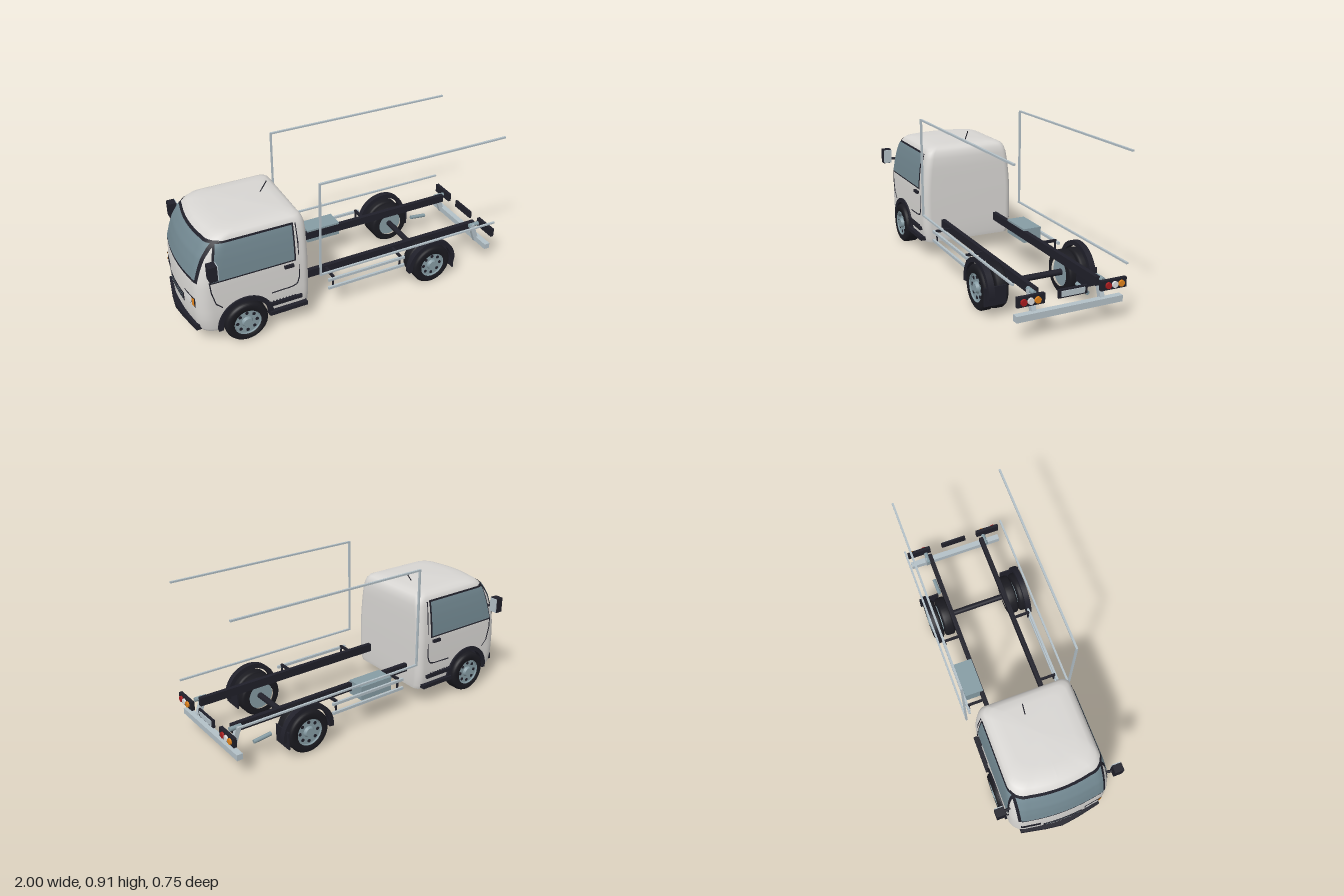
import * as THREE from 'three';

const M = (name, color, side = THREE.FrontSide) => {
  const m = new THREE.MeshStandardMaterial({ color, side });
  m.name = name;
  return m;
};

// Cab sections: height, front x, back x, half width
const LEVELS = [
  [0.105, -0.95, -0.288, 0.285], [0.13, -0.963, -0.284, 0.294], [0.2, -0.97, -0.282, 0.3],
  [0.25, -0.971, -0.282, 0.3], [0.3, -0.971, -0.282, 0.3], [0.4, -0.966, -0.282, 0.3],
  [0.45, -0.958, -0.283, 0.298], [0.52, -0.94, -0.284, 0.292], [0.58, -0.92, -0.285, 0.285],
  [0.64, -0.887, -0.288, 0.275], [0.675, -0.86, -0.298, 0.265], [0.695, -0.835, -0.312, 0.25],
  [0.706, -0.8, -0.335, 0.225], [0.713, -0.74, -0.38, 0.17],
];
const RF = 0.09, RB = 0.045, BULGE = 0.02;
const FRONT_X = -0.68, REAR_X = 0.53, WHEEL_Y = 0.127, WHEEL_R = 0.127;

function section(y) {
  let i = 0;
  while (i < LEVELS.length - 2 && y > LEVELS[i + 1][0]) i++;
  const a = LEVELS[i], b = LEVELS[i + 1];
  const t = THREE.MathUtils.clamp((y - a[0]) / (b[0] - a[0]), 0, 1);
  return [1, 2, 3].map(k => a[k] + (b[k] - a[k]) * t);
}
function frontX(y, z) {
  const [xf, , w] = section(y), a = Math.abs(z), s = w - RF;
  if (a <= s) return xf + BULGE * (a / s) ** 2;
  return xf + BULGE + RF - Math.sqrt(Math.max(0, RF * RF - (a - s) ** 2));
}
function sideZ(y, x) {
  const [xf, , w] = section(y), xc = xf + BULGE + RF;
  return x >= xc ? w : w - RF + Math.sqrt(Math.max(0, RF * RF - (x - xc) ** 2));
}

// Surface from a grid of points
function gridGeometry(rows) {
  const n = rows[0].length, index = [];
  for (let i = 0; i < rows.length - 1; i++)
    for (let j = 0; j < n - 1; j++) {
      const a = i * n + j, d = a + n;
      index.push(a, a + 1, d + 1, a, d + 1, d);
    }
  const g = new THREE.BufferGeometry();
  g.setAttribute('position', new THREE.Float32BufferAttribute(rows.flat(2), 3));
  g.setIndex(index);
  g.computeVertexNormals();
  return g;
}
function patch(fn, nu = 16, nv = 14) {
  const rows = [];
  for (let i = 0; i <= nv; i++) {
    rows.push([]);
    for (let j = 0; j <= nu; j++) rows[i].push(fn(j / nu, i / nv));
  }
  return gridGeometry(rows);
}

// Rounded cab shell, open below, with wheel arches cut into its sides
function cabGeometry() {
  const rows = LEVELS.map(([y, xf, xb, w]) => {
    const half = [];
    for (let i = 0; i < 6; i++) half.push([xf + BULGE * (i / 6) ** 2, (w - RF) * i / 6]);
    const xc = xf + BULGE + RF, xd = xb - RB;
    for (let i = 0; i < 8; i++) {
      const a = Math.PI / 2 * i / 8;
      half.push([xc - RF * Math.cos(a), w - RF + RF * Math.sin(a)]);
    }
    for (let i = 0; i < 30; i++) half.push([xc + (xd - xc) * i / 30, w]);
    for (let i = 0; i <= 6; i++) {
      const a = Math.PI / 2 * i / 6;
      half.push([xd + RB * Math.sin(a), w - RB + RB * Math.cos(a)]);
    }
    half.push([xb, 0]);
    const loop = [...half, ...half.slice(0, -1).reverse().map(([x, z]) => [x, -z])];
    return loop.map(([x, z]) => {
      const dx = Math.abs(x - FRONT_X);
      return [x, dx < 0.145 ? Math.max(y, WHEEL_Y + Math.sqrt(0.145 ** 2 - dx * dx)) : y, z];
    });
  });
  rows.push(rows[0].map(() => [-0.56, 0.716, 0]));
  return gridGeometry(rows);
}

export function createModel() {
  const model = new THREE.Group();
  model.name = 'truck';
  const paint = M('cabPaint', 0xd8d6d3, THREE.DoubleSide);
  const black = M('blackTrim', 0x20202a, THREE.DoubleSide);
  const glass = M('glass', 0x728891, THREE.DoubleSide);
  const steel = M('lightSteel', 0xb3c0c7);
  const rimMat = M('blueGreySteel', 0x869ca4);
  const rubber = M('rubber', 0x1a1a20);
  const red = M('redLens', 0xa81c1e), white = M('whiteLens', 0xdcdcdc), orange = M('orangeLens', 0xe0821a);

  const add = (name, geo, mat, x = 0, y = 0, z = 0, parent = model) => {
    const m = new THREE.Mesh(geo, mat);
    m.name = name;
    m.position.set(x, y, z);
    parent.add(m);
    return m;
  };
  const box = (name, mat, x0, x1, y0, y1, z0, z1) => add(name, new THREE.BoxGeometry(x1 - x0, y1 - y0, z1 - z0),
    mat, (x0 + x1) / 2, (y0 + y1) / 2, (z0 + z1) / 2);
  const rod = (name, mat, a, b, r) => {
    const p = new THREE.Vector3(...a), q = new THREE.Vector3(...b), d = q.clone().sub(p);
    const m = add(name, new THREE.CylinderGeometry(r, r, d.length(), 12), mat);
    m.position.copy(p).add(q).multiplyScalar(0.5);
    m.quaternion.setFromUnitVectors(new THREE.Vector3(0, 1, 0), d.normalize());
  };
  const frontPatch = (name, mat, z0, z1, y0, y1, off) => add(name, patch((u, v) => {
    const y = y0 + (y1 - y0) * v, z = z0 + (z1 - z0) * u;
    return [frontX(y, z) - off, y + off * 0.4, z];
  }, 28, 16), mat);

  // Cab and its front
  add('cab', cabGeometry(), paint);
  box('cabFloor', black, -0.9, -0.3, 0.25, 0.27, -0.2, 0.2);
  frontPatch('windscreenSeal', black, -0.262, 0.262, 0.435, 0.672, 0.004);
  frontPatch('windscreen', glass, -0.247, 0.247, 0.452, 0.658, 0.007);
  frontPatch('grille', black, -0.12, 0.12, 0.235, 0.295, 0.004);
  for (let i = 0; i < 3; i++) frontPatch('grilleBar', rimMat, -0.112, 0.112, 0.245 + i * 0.018, 0.25 + i * 0.018, 0.007);
  frontPatch('frontPlate', white, -0.07, 0.07, 0.175, 0.205, 0.005);
  for (const s of [-1, 1]) {
    frontPatch('headlampFrame', black, s * 0.135, s * 0.25, 0.275, 0.335, 0.003);
    frontPatch('headlamp', white, s * 0.14, s * 0.222, 0.28, 0.33, 0.006);
    frontPatch('frontIndicator', orange, s * 0.224, s * 0.245, 0.28, 0.33, 0.006);
  }
  const bumper = new THREE.Shape([[-0.925, -0.25], [-0.955, -0.25], [-0.985, -0.1], [-0.998, 0], [-0.985, 0.1],
    [-0.955, 0.25], [-0.925, 0.25]].map(p => new THREE.Vector2(...p)));
  add('frontBumper', new THREE.ExtrudeGeometry(bumper, { depth: 0.035, bevelEnabled: false }).rotateX(Math.PI / 2),
    black, 0, 0.152, 0);
  rod('aerial', black, [-0.43, 0.71, -0.04], [-0.387, 0.773, -0.04], 0.003);

  // Half-ring wheel guard
  const guard = new THREE.Shape();
  guard.absarc(0, 0, 0.165, -0.1, Math.PI + 0.1, false);
  guard.absarc(0, 0, 0.138, Math.PI + 0.1, -0.1, true);
  const guardGeo = new THREE.ExtrudeGeometry(guard, { depth: 0.035, bevelEnabled: false, curveSegments: 28 });

  // Wheel parts, outer face towards +z
  const tyre = w => new THREE.LatheGeometry([[0.08, -0.5], [0.112, -0.5], [0.122, -0.42], [0.127, -0.3], [0.127, 0.3],
    [0.122, 0.42], [0.112, 0.5], [0.08, 0.5], [0.078, 0.3]].map(([r, h]) => new THREE.Vector2(r, h * w)), 40).rotateX(Math.PI / 2);
  const wheel = (name, x, s, zIn, widths) => {
    const g = new THREE.Group();
    g.name = name;
    g.position.set(x, WHEEL_Y, 0);
    if (s < 0) g.rotation.y = Math.PI;
    model.add(g);
    let z = zIn;
    for (const w of widths) {
      add('tyre', tyre(w), rubber, 0, 0, z + w / 2, g);
      z += w + 0.008;
    }
    const out = z - 0.02;
    add('rim', new THREE.CylinderGeometry(0.083, 0.083, out - zIn - 0.015, 32).rotateX(Math.PI / 2), rimMat, 0, 0, (out + zIn + 0.015) / 2, g);
    add('rimLip', new THREE.TorusGeometry(0.08, 0.006, 8, 36), rimMat, 0, 0, out + 0.005, g);
    add('hub', new THREE.CylinderGeometry(0.026, 0.034, 0.016, 20).rotateX(Math.PI / 2), rimMat, 0, 0, out + 0.008, g);
    for (let i = 0; i < 8; i++) {
      const a = i * Math.PI / 4;
      add('rimHole', new THREE.CylinderGeometry(0.01, 0.01, 0.004, 12).rotateX(Math.PI / 2), black,
        0.058 * Math.cos(a), 0.058 * Math.sin(a), out + 0.001, g);
    }
  };

  for (const s of [-1, 1]) {
    const sbox = (name, mat, x0, x1, y0, y1, z0, z1) =>
      box(name, mat, x0, x1, y0, y1, Math.min(s * z0, s * z1), Math.max(s * z0, s * z1));
    const on = (x, y, off = 0.001) => new THREE.Vector3(x, y, s * (sideZ(y, x) + off));

    // Side window with slanted front edge
    const pane = (name, mat, grow, off) => add(name, patch((u, v) => {
      const y = 0.447 - grow + (0.213 + 2 * grow) * v, x0 = -0.862 + 0.052 * v - grow;
      const p = on(x0 + (-0.378 + grow - x0) * u, y, off);
      return [p.x, p.y, p.z];
    }), mat);
    pane('windowSeal', black, 0.01, 0.003);
    pane('sideWindow', glass, 0, 0.006);

    // Door gap and handle
    const gap = (pts) => {
      const path = new THREE.CurvePath();
      for (let i = 0; i < pts.length - 1; i++) path.add(new THREE.LineCurve3(on(...pts[i]), on(...pts[i + 1])));
      add('doorGap', new THREE.TubeGeometry(path, 40, 0.0035, 6), black);
    };
    gap([[-0.87, 0.45], [-0.865, 0.38], [-0.845, 0.3], [-0.81, 0.265]]);
    gap([[-0.355, 0.665], [-0.35, 0.55], [-0.35, 0.32], [-0.365, 0.275], [-0.4, 0.265], [-0.52, 0.262]]);
    sbox('doorHandle', black, -0.44, -0.385, 0.405, 0.422, 0.296, 0.314);

    // Mirror
    sbox('mirrorHousing', black, -0.888, -0.842, 0.505, 0.597, 0.32, 0.374);
    sbox('mirrorGlass', steel, -0.842, -0.836, 0.508, 0.594, 0.322, 0.372);
    rod('mirrorArm', black, [-0.85, 0.53, s * 0.27], [-0.86, 0.53, s * 0.33], 0.008);

    // Entry steps
    sbox('upperStep', black, -0.54, -0.34, 0.178, 0.198, 0.28, 0.315);
    sbox('lowerStep', black, -0.54, -0.31, 0.118, 0.142, 0.28, 0.32);
    for (let i = 0; i < 9; i++) sbox('stepTread', black, -0.535 + i * 0.019, -0.527 + i * 0.019, 0.198, 0.204, 0.29, 0.322);

    // Wheels, guards and flaps
    wheel('frontWheel', FRONT_X, s, 0.225, [0.1]);
    wheel('rearWheel', REAR_X, s, 0.186, [0.068, 0.068]);
    add('frontWheelGuard', guardGeo, black, FRONT_X, WHEEL_Y, s > 0 ? 0.275 : -0.31);
    add('rearWheelGuard', guardGeo, black, REAR_X, WHEEL_Y, s > 0 ? 0.29 : -0.325);
    sbox('mudFlap', black, 0.668, 0.676, 0.075, 0.18, 0.215, 0.344);

    // Frame rail, side guard rails and brackets
    sbox('frameRail', black, -0.9, 0.93, 0.2, 0.25, 0.166, 0.192);
    for (const y of [0.165, 0.222]) sbox('sideGuardRail', steel, -0.165, 0.348, y - 0.008, y + 0.008, 0.284, 0.298);
    for (const x of [-0.13, 0.32]) {
      sbox('guardBracket', black, x - 0.007, x + 0.007, 0.225, 0.24, 0.18, 0.288);
      sbox('guardUpright', black, x - 0.005, x + 0.005, 0.16, 0.24, 0.278, 0.286);
    }

    // Thin load-frame outline
    for (const y of [0.311, 0.903]) sbox('loadFrameRail', steel, -0.238, 0.97, y - 0.005, y + 0.005, 0.324, 0.336);
    sbox('loadFramePost', steel, -0.238, -0.228, 0.306, 0.908, 0.324, 0.336);

    // Rear bumper brackets and lamp cluster
    const arm = box('bumperBracket', steel, 0.905, 0.935, 0.11, 0.245, s * 0.2 - 0.013, s * 0.2 + 0.013);
    arm.rotation.z = 0.35;
    rod('bracketTube', rimMat, [0.88, 0.235, s * 0.2], [0.95, 0.235, s * 0.2], 0.013);
    sbox('lampPanel', black, 0.97, 0.99, 0.193, 0.247, 0.162, 0.316);
    [red, white, orange].forEach((mat, i) => add('tailLamp',
      new THREE.CylinderGeometry(0.017, 0.018, 0.01, 24).rotateZ(-Math.PI / 2), mat, 0.995, 0.219, s * 0.243 + 0.039 * (1 - i)));
  }

  // Chassis cross parts
  for (const x of [FRONT_X, REAR_X]) rod('axle', black, [x, WHEEL_Y, -0.24], [x, WHEEL_Y, 0.24], 0.018);
  box('rearBumper', steel, 0.937, 0.973, 0.105, 0.14, -0.31, 0.31);
  box('plateHolder', black, 0.972, 0.985, 0.198, 0.244, -0.083, 0.083);
  box('rearPlate', steel, 0.985, 0.99, 0.206, 0.236, -0.067, 0.067);
  box('fuelTank', rimMat, -0.08, 0.14, 0.175, 0.262, -0.285, -0.17);
  rod('exhaustPipe', rimMat, [0.7, 0.12, -0.2], [0.81, 0.107, -0.2], 0.012);
  return model;
}
